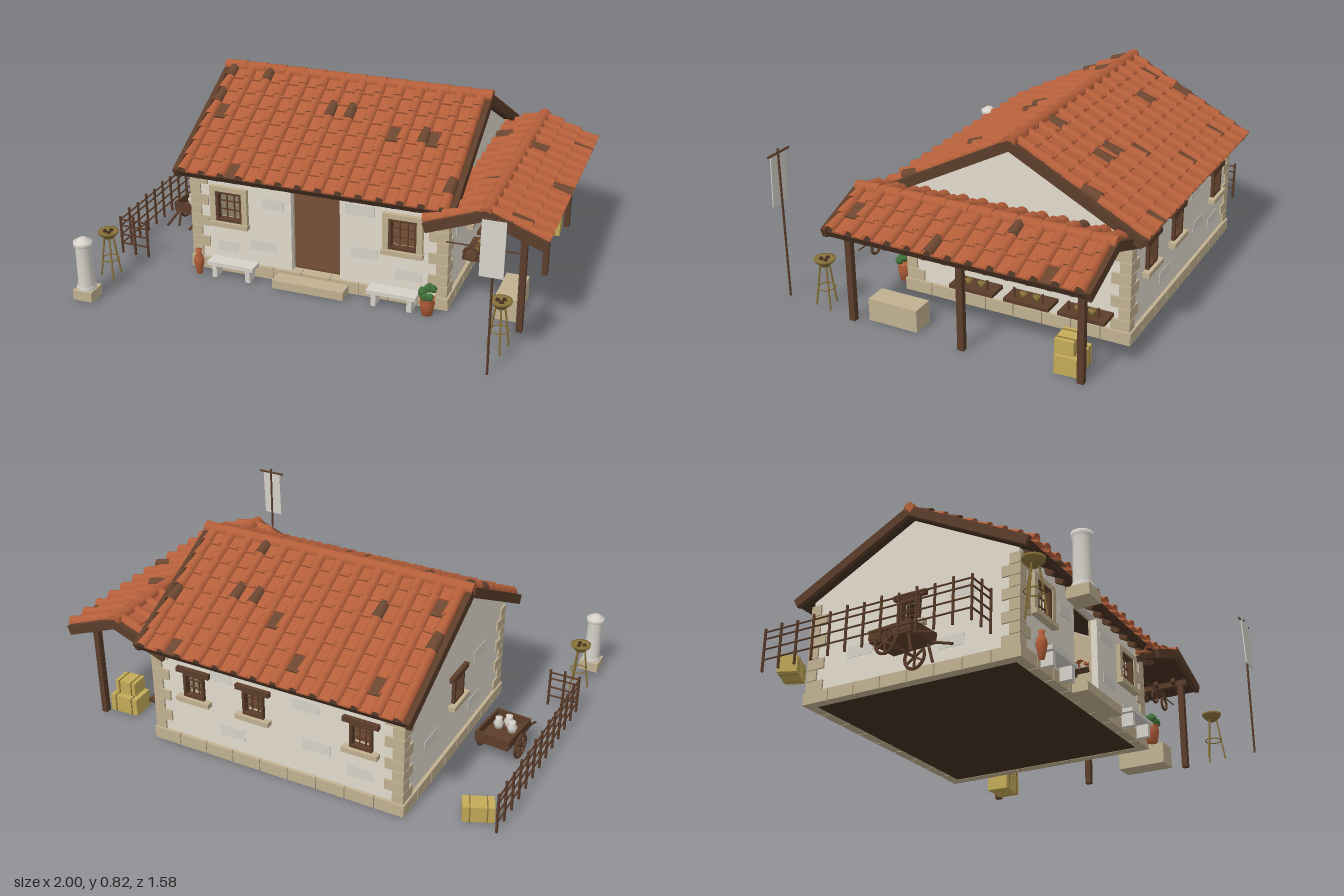
import * as THREE from 'three';
import { mergeGeometries } from 'three/addons/utils/BufferGeometryUtils.js';

const paint = (name, color, side = THREE.FrontSide) => {
  const m = new THREE.MeshStandardMaterial({ color, side });
  m.name = name;
  return m;
};

export function createModel() {
  const root = new THREE.Group();
  root.name = 'cottage';
  const plaster = paint('plaster', 0xe2dacd), stone = paint('tan stone', 0xc2b191), pale = paint('pale stone', 0xd6d2ca);
  const clay = paint('terracotta', 0xb55f3a, THREE.DoubleSide), oldClay = paint('weathered brown', 0x6b4630, THREE.DoubleSide);
  const wood = paint('dark wood', 0x5c3d2a), floorDark = paint('deep brown', 0x463022);
  const straw = paint('straw', 0xc4ab58), brass = paint('brass', 0x8a733a), green = paint('leaf green', 0x3f6e3a);

  const add = (parent, name, geo, mat, x = 0, y = 0, z = 0) => {
    const m = new THREE.Mesh(geo, mat);
    m.name = name;
    m.position.set(x, y, z);
    parent.add(m);
    return m;
  };
  const box = (p, name, mat, w, h, d, x, y, z) => add(p, name, new THREE.BoxGeometry(w, h, d), mat, x, y, z);
  const group = (name, x, y, z, ry = 0, parent = root) => {
    const g = new THREE.Group();
    g.name = name;
    g.position.set(x, y, z);
    g.rotation.y = ry;
    parent.add(g);
    return g;
  };
  const rod = (p, name, mat, a, b, r) => {
    const A = new THREE.Vector3(...a), d = new THREE.Vector3(...b).sub(A);
    const m = add(p, name, new THREE.CylinderGeometry(r, r, d.length(), 6), mat);
    m.position.copy(A).addScaledVector(d, 0.5);
    m.quaternion.setFromUnitVectors(new THREE.Vector3(0, 1, 0), d.normalize());
  };
  const lathe = (p, name, mat, pts, x, y, z, n = 14) =>
    add(p, name, new THREE.LatheGeometry(pts.map(q => new THREE.Vector2(...q)), n), mat, x, y, z);

  // House body: centre and half sizes
  const CX = -0.035, CZ = -0.195, HX = 0.585, HZ = 0.51, PITCH = Math.atan(0.525);

  // One window: frame around an opening, bars, sill and lintel
  const opening = (x, y, w, h) => [[x - w / 2, y - h / 2], [x - w / 2, y + h / 2], [x + w / 2, y + h / 2], [x + w / 2, y - h / 2]];
  const windowAt = (face, { x, y, w, h, big, bars = [-0.14, 0.14] }) => {
    const g = group('window', x, y, 0, 0, face), b = 0.012;
    for (const s of [-1, 1]) {
      box(g, 'inner frame side', wood, b, h, 0.03, s * (w / 2 - b / 2), 0, 0);
      box(g, 'inner frame rail', wood, w, b, 0.03, 0, s * (h / 2 - b / 2), 0);
      if (big) box(g, 'stone jamb', stone, 0.026, h + 0.04, 0.024, s * (w / 2 + 0.013), 0, 0.008);
    }
    for (const k of bars) {
      box(g, 'upright bar', wood, 0.0045, h, 0.006, k * w, 0, -0.008);
      box(g, 'cross bar', wood, w, 0.0045, 0.006, 0, k * h, -0.008);
    }
    box(g, 'lintel', big ? stone : wood, w + (big ? 0.052 : 0.06), 0.022, 0.034, 0, h / 2 + 0.011, 0.003);
    box(g, 'sill', stone, w + 0.06, 0.022, 0.05, 0, -h / 2 - 0.011, 0.006);
  };

  // Walls: plaster outside, tan lining inside
  const face = (name, x, z, ry, hw, apex, wins, door, patches) => {
    const g = group(name, x, 0, z, ry);
    const holes = wins.map(o => opening(o.x, o.y, o.w, o.h));
    if (door) holes.push(opening(...door));
    const slab = (half, depth, mat, z0, label) => {
      const top = 0.482, pts = [[-half, 0.03], [half, 0.03], [half, top]];
      if (apex) pts.push([0, apex]);
      pts.push([-half, top]);
      const s = new THREE.Shape(pts.map(p => new THREE.Vector2(...p)));
      for (const h of holes) s.holes.push(new THREE.Path(h.map(p => new THREE.Vector2(...p))));
      add(g, label, new THREE.ExtrudeGeometry(s, { depth, bevelEnabled: false }), mat, 0, 0, z0);
    };
    slab(hw, 0.03, plaster, -0.03, 'plaster wall');
    slab(hw - 0.03, 0.012, stone, -0.042, 'wall lining');
    wins.forEach(o => windowAt(g, o));
    const n = Math.round(hw * 2 / 0.13), step = (hw * 2 + 0.03) / n;
    for (let i = 0; i < n; i++)
      box(g, 'foundation block', stone, step - 0.004, 0.054, 0.045, -hw - 0.015 + step * (i + 0.5), 0.027, -0.0075);
    for (const [px, py, w] of patches) box(g, 'plaster patch', pale, w, 0.05, 0.004, px, py, 0);
  };
  const big = x => ({ x, y: 0.32, w: 0.125, h: 0.145, big: true });
  const small = x => ({ x, y: 0.32, w: 0.1, h: 0.115 });
  face('front wall', CX, CZ + HZ, 0, HX, 0, [big(-0.405), big(0.395)], [-0.0025, 0.255, 0.225, 0.41],
    [[-0.25, 0.15, 0.13], [-0.2, 0.36, 0.1], [0.22, 0.2, 0.12], [0.2, 0.4, 0.13], [0.42, 0.13, 0.12], [-0.42, 0.12, 0.1]]);
  face('back wall', CX, CZ - HZ, Math.PI, HX, 0, [small(0.405), small(-0.09), small(-0.38)], null,
    [[0.2, 0.2, 0.13], [0.15, 0.38, 0.12], [-0.2, 0.14, 0.12], [-0.25, 0.4, 0.1], [0.4, 0.14, 0.12]]);
  face('right wall', CX + HX, CZ, Math.PI / 2, HZ, 0.75, [{ ...big(-0.115), y: 0.31, w: 0.105, h: 0.112, bars: [0] }], null,
    [[-0.3, 0.3, 0.13], [0.1, 0.22, 0.13], [0.25, 0.36, 0.14], [0.05, 0.39, 0.1]]);
  face('left wall', CX - HX, CZ, -Math.PI / 2, HZ, 0.75, [small(0)], null,
    [[-0.25, 0.2, 0.13], [0.25, 0.36, 0.13], [0.2, 0.14, 0.12]]);
  box(root, 'floor base', floorDark, 2 * HX - 0.02, 0.046, 2 * HZ - 0.02, CX, 0.025, CZ);
  for (let i = 0; i < 12; i++)
    box(root, 'floor plank', oldClay, 2 * HX - 0.09, 0.008, 0.074, CX, 0.052, CZ + (i - 5.5) * 0.0775);
  box(root, 'door step', stone, 0.33, 0.04, 0.085, -0.045, 0.02, 0.36);

  // Corner stones with alternating long and short sides
  for (const sx of [-1, 1]) for (const sz of [-1, 1]) for (let i = 0; i < 8; i++) {
    const a = i % 2 ? 0.085 : 0.05, b = i % 2 ? 0.05 : 0.085;
    box(root, 'corner stone', stone, a, 0.048, b, CX + sx * (HX + 0.008 - a / 2), 0.08 + i * 0.051, CZ + sz * (HZ + 0.008 - b / 2));
  }

  // Table inside
  const table = group('table', -0.005, 0.054, -0.3);
  box(table, 'table top', wood, 0.15, 0.014, 0.1, 0, 0.122, 0);
  for (const x of [-0.06, 0.06]) for (const z of [-0.04, 0.04]) box(table, 'table leg', wood, 0.012, 0.116, 0.012, x, 0.058, z);
  box(table, 'table stretcher', wood, 0.13, 0.012, 0.012, 0, 0.02, 0);
  lathe(table, 'bowl', wood, [[0, 0], [0.015, 0], [0.022, 0.012], [0, 0.01]], 0, 0.129, 0);

  // Roof slope: local x along the ridge, y out of the roof, z down the slope
  const slope = (name, pos, ry, pitch, hw, len, cols, rows, dark) => {
    const g = group(name, ...pos);
    g.rotation.set(pitch, ry, 0, 'YXZ');
    box(g, 'roof deck', floorDark, hw * 2 - 0.02, 0.026, len, 0, -0.013, len / 2);
    for (const s of [-1, 1]) box(g, 'barge board', wood, 0.022, 0.042, len + 0.006, s * (hw - 0.011), -0.01, len / 2);
    const parts = { clay: [], old: [] }, L = len / rows;
    for (let h = 0; h <= 2 * cols - 2; h++) for (let r = 0; r < rows; r++) {
      const cover = h % 2 === 0;
      const t = cover
        ? new THREE.CylinderGeometry(0.027, 0.022, L + 0.01, 7, 1, true, 0, Math.PI).rotateZ(Math.PI / 2).rotateY(Math.PI / 2)
        : new THREE.BoxGeometry(0.056, 0.008, L + 0.01);
      t.rotateX(-0.11).translate((h - cols + 1) * 0.045, cover ? 0.008 : 0.01, (r + 0.5) * L + 0.002);
      parts[dark.some(d => d[0] === h && d[1] === r) ? 'old' : 'clay'].push(t);
    }
    add(g, 'roof tiles', mergeGeometries(parts.clay), clay);
    add(g, 'weathered tiles', mergeGeometries(parts.old), oldClay);
    for (let i = 0; i < cols - 1; i++)
      box(g, 'rafter tail', wood, 0.018, 0.025, 0.11, (i - cols / 2 + 1) * 0.09, -0.036, len - 0.07);
  };
  const ridge = (name, len, x, y, z, alongX) => {
    const n = Math.round(len / 0.1);
    for (let i = 0; i < n; i++) {
      const c = new THREE.CylinderGeometry(0.026, 0.03, len / n + 0.01, 10), o = (i - (n - 1) / 2) * len / n;
      alongX ? c.rotateZ(Math.PI / 2) : c.rotateX(Math.PI / 2);
      add(root, name, c, clay, x + (alongX ? o : 0), y, z + (alongX ? 0 : o));
    }
  };
  const mainLen = 0.577 / Math.cos(PITCH);
  slope('front roof', [-0.04, 0.785, CZ], 0, PITCH, 0.635, mainLen, 14, 8,
    [[0, 0], [4, 0], [0, 2], [1, 3], [12, 2], [14, 2], [19, 3], [22, 3], [23, 3], [5, 7], [26, 6]]);
  slope('back roof', [-0.04, 0.785, CZ], Math.PI, PITCH, 0.635, mainLen, 14, 8,
    [[23, 6], [15, 6], [3, 7], [11, 4], [26, 3], [25, 1], [20, 2], [8, 3], [6, 3], [0, 4], [6, 0]]);
  ridge('ridge tile', 1.26, -0.04, 0.787, CZ, true);

  // Porch roof, posts and beam
  const porchPitch = Math.atan(0.38), porchLen = 0.25 / Math.cos(porchPitch);
  slope('porch roof outer', [0.73, 0.532, -0.145], Math.PI / 2, porchPitch, 0.585, porchLen, 13, 3, [[21, 2], [16, 0], [10, 2], [1, 1]]);
  slope('porch roof inner', [0.73, 0.532, -0.145], -Math.PI / 2, porchPitch, 0.585, porchLen, 13, 3, [[4, 1], [17, 0]]);
  ridge('porch ridge tile', 1.15, 0.73, 0.533, -0.145, false);
  box(root, 'porch beam', wood, 0.026, 0.026, 1.1, 0.885, 0.435, -0.14);
  for (const z of [0.38, -0.135, -0.655]) box(root, 'porch post', wood, 0.026, 0.44, 0.028, 0.885, 0.22, z);

  // Hanging rings on a rod
  rod(root, 'hanging rod', wood, [0.55, 0.33, 0.335], [0.885, 0.33, 0.335], 0.003);
  for (const x of [0.655, 0.765]) {
    add(root, 'hanging ring', new THREE.TorusGeometry(0.029, 0.006, 6, 18), wood, x, 0.292, 0.335);
    rod(root, 'ring cord', wood, [x, 0.32, 0.335], [x, 0.33, 0.335], 0.003);
  }

  // Wall shelves with pegs and brass ware
  for (const z of [-0.04, -0.295, -0.54]) {
    const s = group('shelf', 0.6, 0.12, z);
    box(s, 'shelf board', wood, 0.095, 0.016, 0.205, 0, 0, 0);
    for (const k of [-0.065, 0.065]) box(s, 'shelf peg', wood, 0.008, 0.045, 0.008, 0.02, 0.03, k);
    for (const k of [-0.03, 0.03])
      lathe(s, 'brass cup', brass, [[0, 0], [0.014, 0], [0.01, 0.009], [0.017, 0.022], [0, 0.02]], 0.005, 0.008, k, 8);
  }

  // Stone block and crates under the porch
  box(root, 'stone block', stone, 0.1, 0.1, 0.23, 0.81, 0.05, 0.205);
  for (const [x, y, z, w, h, d] of [[0.803, 0.04, -0.58, 0.135, 0.08, 0.105], [0.808, 0.112, -0.565, 0.1, 0.064, 0.08]]) {
    const c = group('crate', x, y, z, 0.06);
    box(c, 'crate body', straw, w, h, d, 0, 0, 0);
    for (const k of [-0.3, 0.3]) box(c, 'crate band', brass, 0.006, h + 0.004, d + 0.004, k * w, 0, 0);
  }

  // Benches by the front wall
  for (const x of [-0.41, 0.335]) {
    box(root, 'bench seat', pale, 0.22, 0.018, 0.07, x, 0.068, 0.37);
    for (const s of [-1, 1]) box(root, 'bench leg', pale, 0.022, 0.06, 0.055, x + s * 0.08, 0.03, 0.37);
  }

  // Jar and potted plant
  lathe(root, 'tall jar', clay, [[0, 0], [0.012, 0], [0.024, 0.06], [0.019, 0.085], [0.01, 0.1], [0.015, 0.118], [0, 0.116]], -0.57, 0, 0.385);
  lathe(root, 'plant pot', clay, [[0, 0], [0.024, 0], [0.033, 0.055], [0.028, 0.07], [0.035, 0.078], [0, 0.076]], 0.49, 0, 0.38);
  for (let i = 0; i < 7; i++) {
    const a = i * 2.4, r = i ? 0.024 : 0;
    add(root, 'leaves', new THREE.IcosahedronGeometry(0.02, 0), green, 0.49 + r * Math.cos(a), i ? 0.092 + (i % 3) * 0.012 : 0.122, 0.38 + r * Math.sin(a));
  }

  // Braziers on three legs
  for (const x of [-0.925, 0.838]) {
    const b = group('brazier', x, 0, 0.545, x);
    lathe(b, 'brazier bowl', brass, [[0, 0.188], [0.02, 0.19], [0.044, 0.215], [0.046, 0.225], [0.038, 0.222], [0, 0.216]], 0, 0, 0);
    for (let i = 0; i < 3; i++) {
      const a = i * Math.PI * 2 / 3, c = Math.cos(a), s = Math.sin(a);
      rod(b, 'brazier leg', brass, [c * 0.05, 0, s * 0.05], [c * 0.02, 0.2, s * 0.02], 0.004);
      add(b, 'brazier coal', new THREE.IcosahedronGeometry(0.011, 0), floorDark, c * 0.016, 0.22, s * 0.016);
    }
    add(b, 'brazier ring', new THREE.TorusGeometry(0.037, 0.003, 5, 14).rotateX(Math.PI / 2), brass, 0, 0.09, 0);
  }

  // Stone pillar
  box(root, 'pillar plinth', stone, 0.09, 0.045, 0.09, -0.928, 0.0225, 0.742);
  lathe(root, 'pillar shaft', pale, [[0.042, 0.045], [0.042, 0.06], [0.036, 0.066], [0.034, 0.245], [0.041, 0.25], [0.041, 0.268], [0.024, 0.27], [0.018, 0.282], [0, 0.285]], -0.928, 0, 0.742, 18);

  // Banner on a pole
  rod(root, 'banner pole', wood, [0.84, 0, 0.74], [0.84, 0.68, 0.74], 0.005);
  rod(root, 'banner crossbar', wood, [0.77, 0.662, 0.74], [0.905, 0.662, 0.74], 0.005);
  box(root, 'banner cloth', pale, 0.094, 0.23, 0.005, 0.838, 0.547, 0.748).rotation.x = -0.04;

  // Fence: long run with a short return
  const fence = (name, a, b, n) => {
    const g = group(name, 0, 0, 0);
    for (let i = 0; i <= n; i++) {
      const x = a[0] + (b[0] - a[0]) * i / n, z = a[1] + (b[1] - a[1]) * i / n;
      rod(g, 'fence post', wood, [x, 0, z], [x, 0.185 + (i % 2) * 0.008, z], 0.006);
    }
    for (const y of [0.05, 0.095, 0.14, 0.17]) rod(g, 'fence rail', wood, [a[0], y, a[1]], [b[0], y, b[1]], 0.004);
  };
  fence('side fence', [-0.993, -0.63], [-0.993, 0.33], 12);
  fence('end fence', [-0.993, 0.33], [-0.86, 0.33], 2);

  // Handcart with jars
  const cart = group('handcart', -0.805, 0, -0.1, -0.09);
  box(cart, 'cart bed', wood, 0.15, 0.014, 0.21, 0, 0.085, 0);
  for (const s of [-1, 1]) {
    box(cart, 'cart side', wood, 0.01, 0.04, 0.21, s * 0.075, 0.108, 0);
    box(cart, 'cart end', wood, 0.15, 0.04, 0.01, 0, 0.108, s * 0.1);
    add(cart, 'cart wheel', new THREE.TorusGeometry(0.05, 0.007, 6, 16).rotateY(Math.PI / 2), wood, s * 0.088, 0.057, -0.01);
    for (let i = 0; i < 3; i++) box(cart, 'wheel spoke', wood, 0.008, 0.1, 0.008, s * 0.088, 0.057, -0.01).rotation.x = i * Math.PI / 3;
    rod(cart, 'cart handle', wood, [s * 0.06, 0.085, 0.09], [s * 0.06, 0.05, 0.2], 0.006);
    rod(cart, 'cart leg', wood, [s * 0.06, 0.08, 0.08], [s * 0.065, 0, 0.1], 0.006);
  }
  rod(cart, 'cart axle', wood, [-0.088, 0.057, -0.01], [0.088, 0.057, -0.01], 0.006);
  for (const [x, z] of [[-0.032, 0.02], [0.032, 0.02], [0, 0.055]])
    lathe(cart, 'cart jar', pale, [[0, 0], [0.016, 0], [0.023, 0.025], [0.012, 0.043], [0.016, 0.05], [0, 0.048]], x, 0.092, z, 10);

  // Straw bale
  const bale = group('straw bale', -0.89, 0.035, -0.57, 0.42);
  box(bale, 'bale body', straw, 0.13, 0.07, 0.08, 0, 0, 0);
  for (const x of [-0.035, 0.035]) box(bale, 'bale cord', brass, 0.005, 0.074, 0.084, x, 0, 0);
  return root;
}
